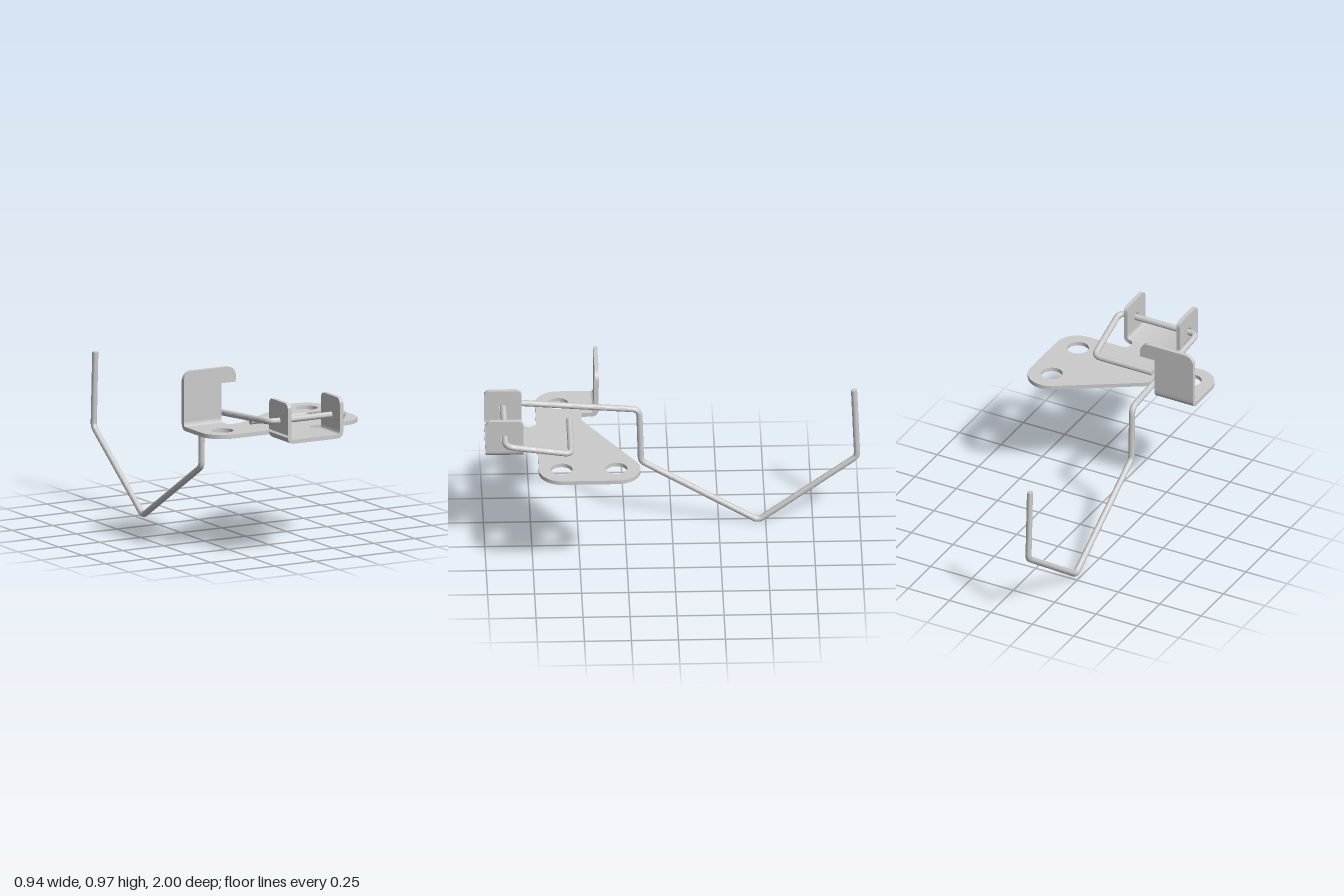
import * as THREE from 'three';
import { toCreasedNormals } from 'three/addons/utils/BufferGeometryUtils.js';

const T = 0.022;      // sheet thickness
const BOTTOM = 0.652; // underside of the plate
const TOP = BOTTOM + T;
const material = new THREE.MeshStandardMaterial({ color: 0xcccccc, metalness: 0.2, roughness: 0.6 });

// closed outline from [x, y, cornerRadius] points, with true arcs in the corners
function outline(points) {
  const shape = new THREE.Shape();
  const n = points.length;
  points.forEach(([x, y, r], i) => {
    const p = new THREE.Vector2(x, y);
    if (!r) {
      if (i === 0) shape.moveTo(x, y); else shape.lineTo(x, y);
      return;
    }
    const [px, py] = points[(i + n - 1) % n];
    const [nx, ny] = points[(i + 1) % n];
    const u = new THREE.Vector2(px, py).sub(p).normalize();
    const v = new THREE.Vector2(nx, ny).sub(p).normalize();
    const half = Math.acos(u.dot(v)) / 2;
    const d = r / Math.tan(half);
    const c = u.clone().add(v).normalize().multiplyScalar(r / Math.sin(half)).add(p);
    const a = p.clone().addScaledVector(u, d).sub(c);
    const b = p.clone().addScaledVector(v, d).sub(c);
    if (i === 0) shape.moveTo(c.x + a.x, c.y + a.y);
    shape.absarc(c.x, c.y, r, a.angle(), b.angle(), u.cross(v) > 0);
  });
  shape.closePath();
  return shape;
}

function addHole(shape, x, y, r) {
  const hole = new THREE.Path();
  hole.absarc(x, y, r, 0, Math.PI * 2, true);
  shape.holes.push(hole);
}

function extrude(shape, depth) {
  return new THREE.ExtrudeGeometry(shape, { depth, bevelEnabled: false, curveSegments: 16 });
}

function mesh(name, geometry) {
  const m = new THREE.Mesh(toCreasedNormals(geometry, 0.6), material);
  m.name = name;
  return m;
}

// path of straight runs with a bend of the given radius at every inner point
function bentPath(points, radius) {
  const path = new THREE.CurvePath();
  let from = points[0];
  for (let i = 1; i < points.length - 1; i++) {
    const p = points[i];
    const u = points[i - 1].clone().sub(p).normalize();
    const v = points[i + 1].clone().sub(p).normalize();
    const d = radius / Math.tan(u.angleTo(v) / 2);
    const a = p.clone().addScaledVector(u, d);
    const b = p.clone().addScaledVector(v, d);
    path.add(new THREE.LineCurve3(from, a));
    path.add(new THREE.QuadraticBezierCurve3(a, p, b));
    from = b;
  }
  path.add(new THREE.LineCurve3(from, points[points.length - 1]));
  path.arcLengthDivisions = 1000;
  return path;
}

function basePlate() {
  // drawn as x, z
  const shape = outline([
    [-0.47, 0.43], [-0.238, 0.43], [-0.238, 0.48], [-0.165, 0.48, 0.03],
    [0.467, 0.08, 0.125], [0.467, 0.723, 0.125],
    [0.105, 0.723, 0.036], [0.105, 0.8, 0.036], [0.135, 0.8],
    [-0.135, 0.8], [-0.105, 0.8, 0.036], [-0.105, 0.723, 0.036],
    [-0.47, 0.723, 0.125],
  ]);
  for (const [x, z] of [[-0.342, 0.602], [0.34, 0.602], [0.34, 0.31]]) addHole(shape, x, z, 0.058);
  return mesh('basePlate', extrude(shape, T).rotateX(Math.PI / 2).translate(0, TOP, 0));
}

function hookTab() {
  const group = new THREE.Group();
  group.name = 'hookTab';
  // bend up from the plate, drawn as z, y
  const bend = outline([
    [0.43, BOTTOM], [0.43, TOP], [0.411, TOP, 0.013], [0.411, 0.7],
    [0.389, 0.7], [0.389, BOTTOM, 0.035],
  ]);
  group.add(mesh('hookBend', extrude(bend, 0.232).rotateY(-Math.PI / 2).translate(-0.238, 0, 0)));
  // upright with a nose over the wire
  const upright = outline([
    [-0.47, 0.7], [-0.238, 0.7], [-0.238, 0.885], [-0.151, 0.885],
    [-0.151, 0.97, 0.05], [-0.47, 0.97, 0.05],
  ]);
  group.add(mesh('hookUpright', extrude(upright, T).translate(0, 0, 0.389)));
  return group;
}

function hingeBracket() {
  const group = new THREE.Group();
  group.name = 'hingeBracket';
  // channel floor with its two bends
  const channel = outline([
    [-0.17, 0.7], [-0.17, BOTTOM, 0.035], [0.17, BOTTOM, 0.035], [0.17, 0.7],
    [0.148, 0.7], [0.148, TOP, 0.013], [-0.148, TOP, 0.013], [-0.148, 0.7],
  ]);
  group.add(mesh('bracketFloor', extrude(channel, 0.2).translate(0, 0, 0.8)));
  // side ears with a pivot hole, drawn as z, y
  const ear = outline([[0.8, 0.7], [1, 0.7], [1, 0.87, 0.03], [0.8, 0.87, 0.03]]);
  addHole(ear, 0.9, 0.765, 0.021);
  for (const [name, x] of [['leftEar', 0.17], ['rightEar', -0.148]]) {
    group.add(mesh(name, extrude(ear, T).rotateY(-Math.PI / 2).translate(x, 0, 0)));
  }
  return group;
}

function wire() {
  const group = new THREE.Group();
  group.name = 'wire';
  const radius = 0.0165;
  const points = [
    [-0.14, 0.692, 0.547], [0.213, 0.692, 0.547], [0.246, 0.762, 0.897], [-0.22, 0.762, 0.897],
    [-0.22, 0.703, 0.172], [-0.22, 0.385, 0.163], [-0.22, 0.008, -0.46],
    [-0.22, 0.395, -0.987], [-0.22, 0.803, -0.97],
  ].map((p) => new THREE.Vector3(...p));
  const path = bentPath(points, 0.045);
  group.add(mesh('wireRod', new THREE.TubeGeometry(path, 400, radius, 16, false)));
  // flat cut ends
  const last = points.length - 1;
  for (const [name, end, inner] of [['wireStart', 0, 1], ['wireTip', last, last - 1]]) {
    const cap = mesh(name, new THREE.CircleGeometry(radius, 16));
    cap.position.copy(points[end]);
    cap.lookAt(points[end].clone().multiplyScalar(2).sub(points[inner]));
    group.add(cap);
  }
  return group;
}

export function createModel() {
  const model = new THREE.Group();
  model.name = 'wireLatch';
  model.add(basePlate(), hookTab(), hingeBracket(), wire());
  return model;
}
